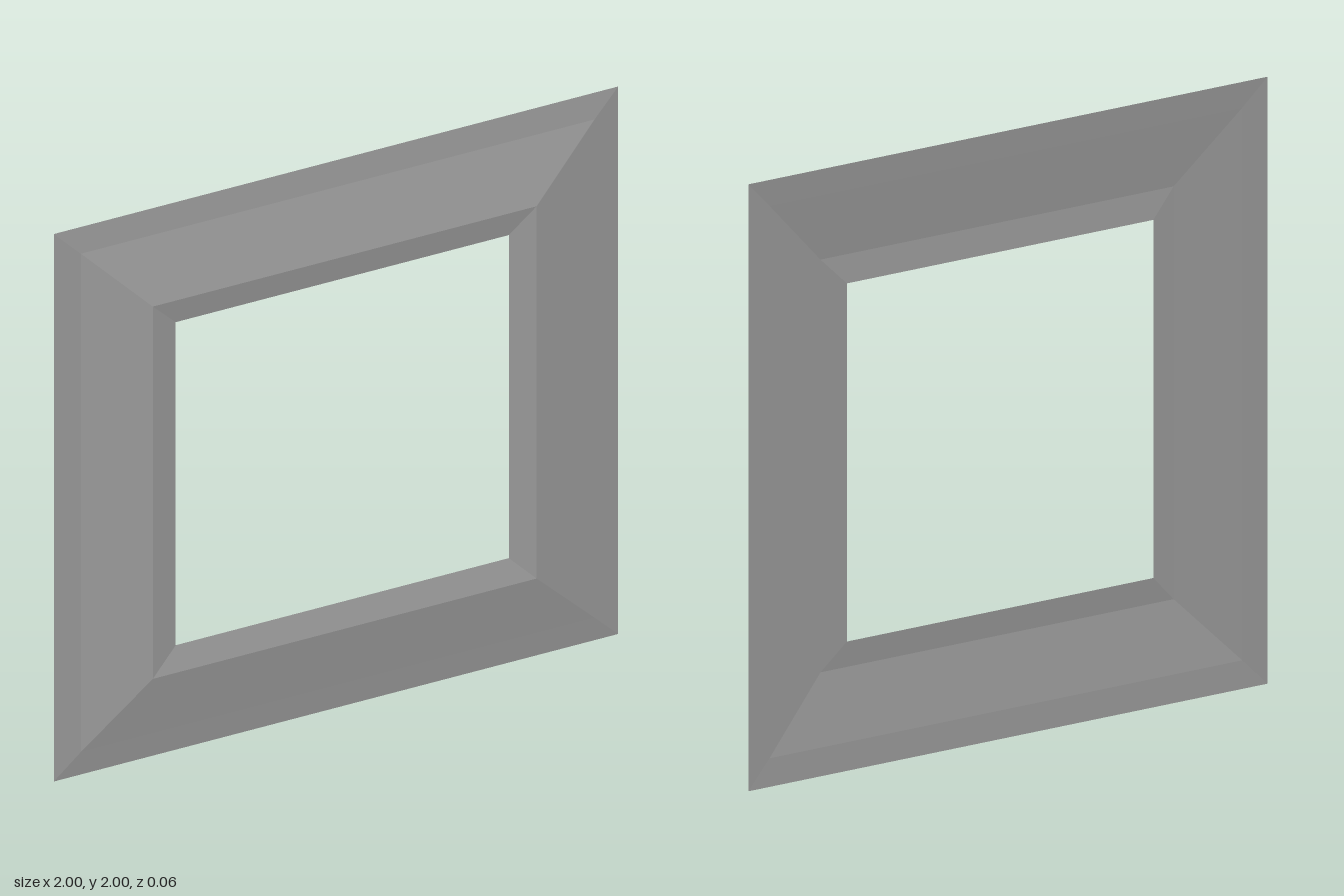
import * as THREE from 'three';

// Moulding profile, outside to inside: [half size of the square, z]
const PROFILE = [[1, -0.03], [0.91, -0.018], [0.68, 0.03], [0.59, 0.013]];

// One mitred side of the frame: an open strip of trapezoids
function mouldingGeometry() {
  const pos = [];
  for (let i = 0; i < PROFILE.length - 1; i++) {
    const [a, za] = PROFILE[i];
    const [b, zb] = PROFILE[i + 1];
    const outerL = [-a, a, za], outerR = [a, a, za];
    const innerL = [-b, b, zb], innerR = [b, b, zb];
    pos.push(...outerL, ...innerL, ...innerR, ...outerL, ...innerR, ...outerR);
  }
  const geo = new THREE.BufferGeometry();
  geo.setAttribute('position', new THREE.Float32BufferAttribute(pos, 3));
  geo.computeVertexNormals();
  return geo;
}

export function createModel() {
  const frame = new THREE.Group();
  frame.name = 'squareFrame';

  const grey = new THREE.MeshStandardMaterial({
    name: 'lightGrey', color: 0xc6c6c6, flatShading: true, side: THREE.DoubleSide,
  });
  const geo = mouldingGeometry();

  // Four equal sides turned about the centre of the opening
  ['topMoulding', 'leftMoulding', 'bottomMoulding', 'rightMoulding'].forEach((name, i) => {
    const side = new THREE.Mesh(geo, grey);
    side.name = name;
    side.position.y = 1;
    side.rotation.z = -i * Math.PI / 2;
    frame.add(side);
  });
  return frame;
}
